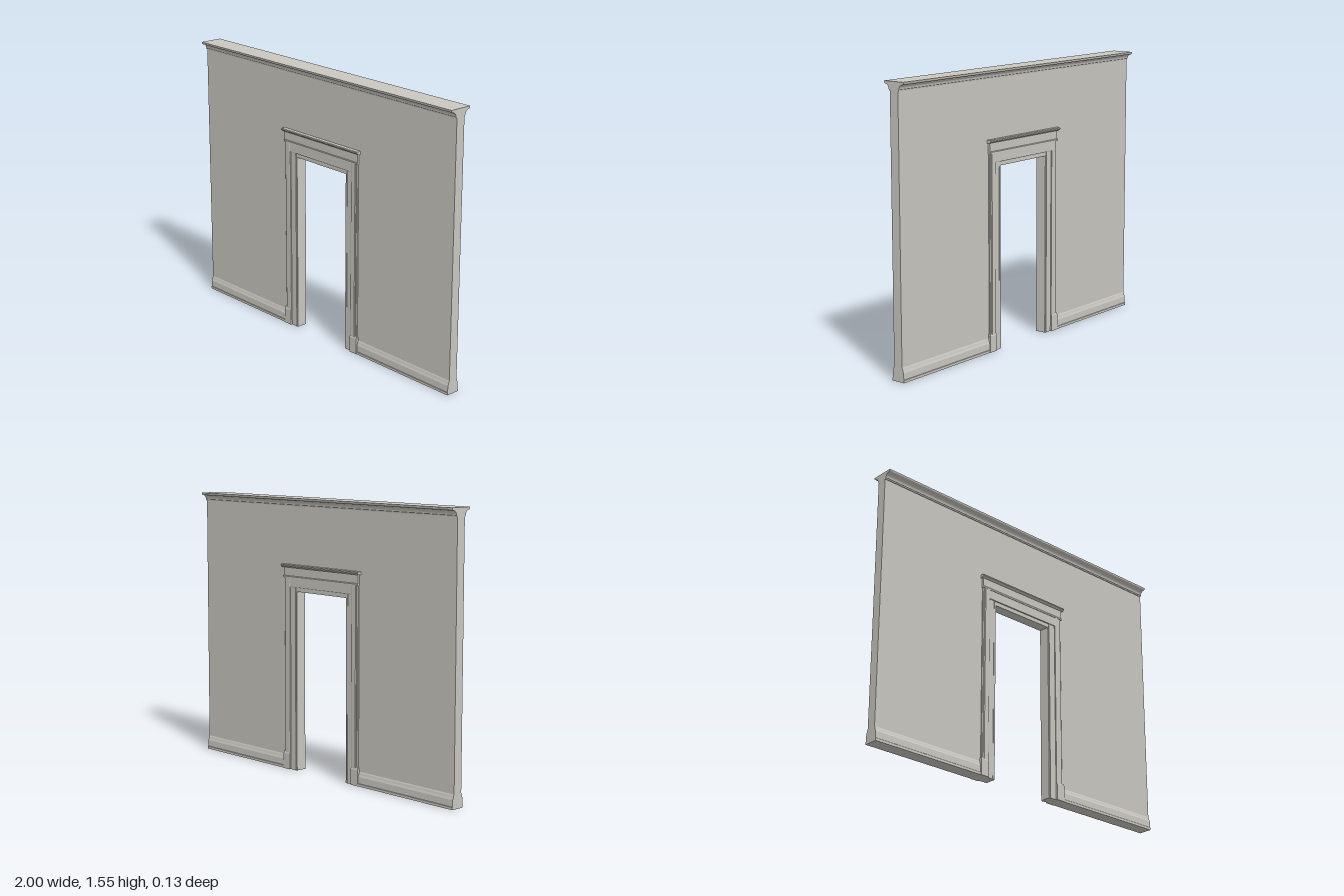
import * as THREE from 'three';

const paint = new THREE.MeshStandardMaterial({ color: 0xc9c7c0 });
paint.name = 'warmGreyPaint';

// Closed outline from half-profile points [along, depth], mirrored to both faces of the wall
function twoSided(points, depthFirst) {
  const all = [...points, ...points.map(([a, d]) => [a, -d]).reverse()];
  return new THREE.Shape(all.map(([a, d]) => depthFirst ? new THREE.Vector2(d, a) : new THREE.Vector2(a, d)));
}

function add(group, name, geometry) {
  const mesh = new THREE.Mesh(geometry, paint);
  mesh.name = name;
  group.add(mesh);
}

// Profile of [height, depth] swept along x
function moulding(points, x0, x1) {
  const g = new THREE.ExtrudeGeometry(twoSided(points, true), { depth: x1 - x0, bevelEnabled: false });
  return g.rotateY(Math.PI / 2).translate(x0, 0, 0);
}

// Plan of [x, depth] raised along y
function upright(points, side, y0, y1) {
  const shape = twoSided(points.map(([x, d]) => [x * side, d]), false);
  const g = new THREE.ExtrudeGeometry(shape, { depth: y1 - y0, bevelEnabled: false });
  return g.rotateX(-Math.PI / 2).translate(0, y0, 0);
}

export function createModel() {
  const model = new THREE.Group();
  model.name = 'wallWithDoorway';

  // Wall with the doorway cut out
  const wall = new THREE.Shape([
    [-1, 0], [-0.205, 0], [-0.205, 1.03], [0.205, 1.03], [0.205, 0], [1, 0], [1, 1.545], [-1, 1.545],
  ].map(([x, y]) => new THREE.Vector2(x, y)));
  add(model, 'wall', new THREE.ExtrudeGeometry(wall, { depth: 0.054, bevelEnabled: false }).translate(0, 0, -0.027));

  // Coved crown moulding
  const crown = [[1.503, 0.027], [1.503, 0.031], [1.508, 0.032]];
  for (let i = 0; i <= 6; i++) {
    const a = (i / 6) * Math.PI / 2;
    crown.push([1.51 + 0.026 * Math.sin(a), 0.034 + 0.025 * (1 - Math.cos(a))]);
  }
  crown.push([1.54, 0.064], [1.546, 0.066], [1.55, 0.066]);
  add(model, 'crownMoulding', moulding(crown, -1, 1));

  // Baseboard, casing and plinth on each side of the doorway
  const base = [[0, 0.04], [0.014, 0.04], [0.016, 0.038], [0.052, 0.037], [0.062, 0.033], [0.074, 0.03], [0.08, 0.027]];
  const jamb = [[0.2, 0.031], [0.207, 0.031], [0.207, 0.035], [0.215, 0.035], [0.215, 0.033], [0.25, 0.033]];
  const casing = [[0.25, 0.039], [0.256, 0.041], [0.283, 0.041], [0.287, 0.037], [0.292, 0.037], [0.297, 0.033]];
  const plinth = [[0.25, 0.043], [0.304, 0.043]];
  for (const side of [1, -1]) {
    const label = side > 0 ? 'left' : 'right';
    add(model, label + 'Baseboard', side > 0 ? moulding(base, 0.3, 1) : moulding(base, -1, -0.3));
    add(model, label + 'Jamb', upright(jamb, side, 0, 1.05));
    add(model, label + 'Casing', upright(casing, side, 0.09, 1.1));
    add(model, label + 'Plinth', upright([...plinth], side, 0, 0.09));
    add(model, label + 'PlinthBevel', moulding([[0.09, 0.043], [0.102, 0.038]], side > 0 ? 0.25 : -0.302, side > 0 ? 0.302 : -0.25));
  }

  // Lintel, frieze and projecting cap above the doorway
  add(model, 'headJamb', moulding([[1.025, 0.031], [1.05, 0.031]], -0.2, 0.2));
  add(model, 'lintel', moulding([[1.048, 0.037], [1.052, 0.039], [1.1, 0.039]], -0.255, 0.255));
  add(model, 'frieze', moulding([[1.1, 0.042], [1.108, 0.042], [1.112, 0.039], [1.16, 0.039]], -0.3, 0.3));
  add(model, 'cap', moulding([[1.158, 0.04], [1.164, 0.05], [1.167, 0.053], [1.173, 0.053], [1.176, 0.05]], -0.31, 0.31));

  return model;
}
